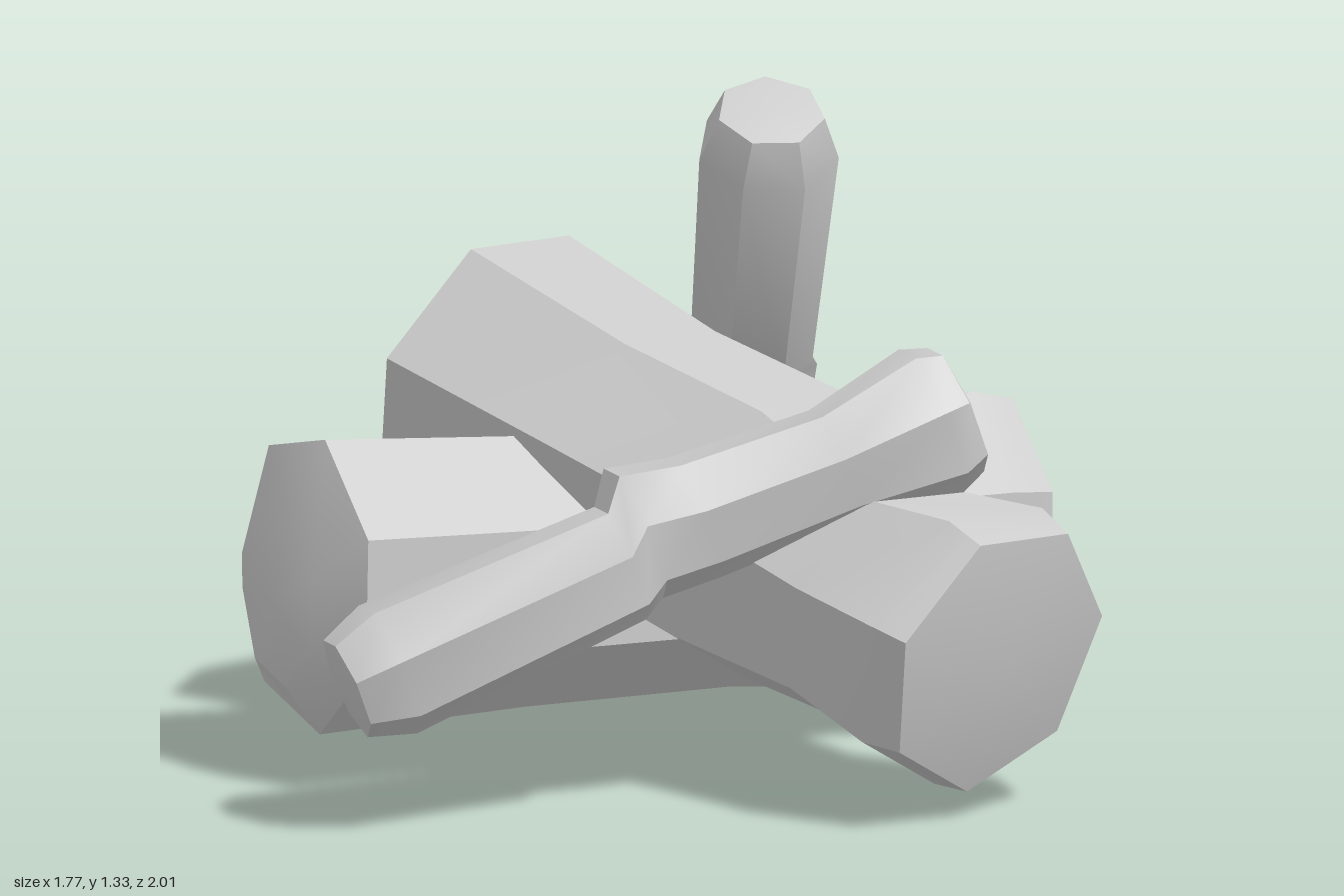
import * as THREE from 'three';
import { toCreasedNormals } from 'three/addons/utils/BufferGeometryUtils.js';

const SIDES = 7;
const UP = new THREE.Vector3(0, 1, 0);

// Log swept along a straight axis. Rings: [t along axis, radius, sideways shift, upward shift]
function logGeometry(from, to, rings, twist) {
  const a = new THREE.Vector3(...from), b = new THREE.Vector3(...to);
  const dir = b.clone().sub(a).normalize();
  const side = dir.clone().cross(UP).normalize();
  const up = side.clone().cross(dir);
  const point = ([t, r, sx = 0, sy = 0], j) => {
    const ang = twist + (j % SIDES) / SIDES * Math.PI * 2;
    return a.clone().lerp(b, t)
      .addScaledVector(side, r * Math.cos(ang) + sx)
      .addScaledVector(up, r * Math.sin(ang) + sy);
  };
  const pos = [];
  const tri = (...pts) => pts.forEach(p => pos.push(p.x, p.y, p.z));
  for (let i = 0; i < rings.length - 1; i++) {
    for (let j = 0; j < SIDES; j++) {
      const p = point(rings[i], j), q = point(rings[i], j + 1);
      const r = point(rings[i + 1], j + 1), s = point(rings[i + 1], j);
      // Rings of radius 0 close the ends with a fan
      if (rings[i + 1][1] > 0) tri(p, s, r);
      if (rings[i][1] > 0) tri(p, r, q);
    }
  }
  const geo = new THREE.BufferGeometry();
  geo.setAttribute('position', new THREE.Float32BufferAttribute(pos, 3));
  return toCreasedNormals(geo, 0.55);
}

// Thick log with a slight waist and domed ends
const lowerRings = [
  [-0.05, 0, 0, -0.04], [-0.042, 0.17, 0, -0.04], [0, 0.31], [0.3, 0.285], [0.6, 0.275],
  [0.94, 0.31], [1, 0.29], [1.03, 0],
];
// Thick log that steps from a slim half to a swollen half
const upperRings = [
  [-0.03, 0], [0, 0.29], [0.06, 0.31], [0.22, 0.265, -0.015, -0.01],
  [0.46, 0.315, 0.05, -0.02], [0.7, 0.3], [1, 0.325], [1.04, 0.2], [1.05, 0],
];
// Branch: bevelled tip, knot near the middle, flared butt
const branchRings = (sx, sy) => [
  [-0.01, 0], [0, 0.11], [0.07, 0.145], [0.45, 0.128],
  [0.49, 0.147, sx, sy], [0.58, 0.135, sx / 2, sy / 2], [0.8, 0.125],
  [0.96, 0.162], [1, 0.14], [1.02, 0],
];

export function createModel() {
  const group = new THREE.Group();
  const wood = new THREE.MeshStandardMaterial({ color: 0xcccccc });
  const add = (name, from, to, rings, twist) => {
    const mesh = new THREE.Mesh(logGeometry(from, to, rings, twist), wood);
    mesh.name = name;
    group.add(mesh);
  };

  add('lowerLog', [-0.63, 0.4, 0.48], [0.235, 0.37, -0.785], lowerRings, Math.PI);
  add('upperLog', [0.79, 0.33, 0.16], [-0.61, 0.7, -0.21], upperRings, -1.62);
  add('frontBranch', [-0.28, 0.295, 0.92], [0.6, 0.795, -0.01], branchRings(-0.035, 0.035), 0.3);
  add('leaningBranch', [-0.045, 1.275, -0.365], [-0.455, 0.055, -0.88], branchRings(0, 0.05), 0.65);
  return group;
}
